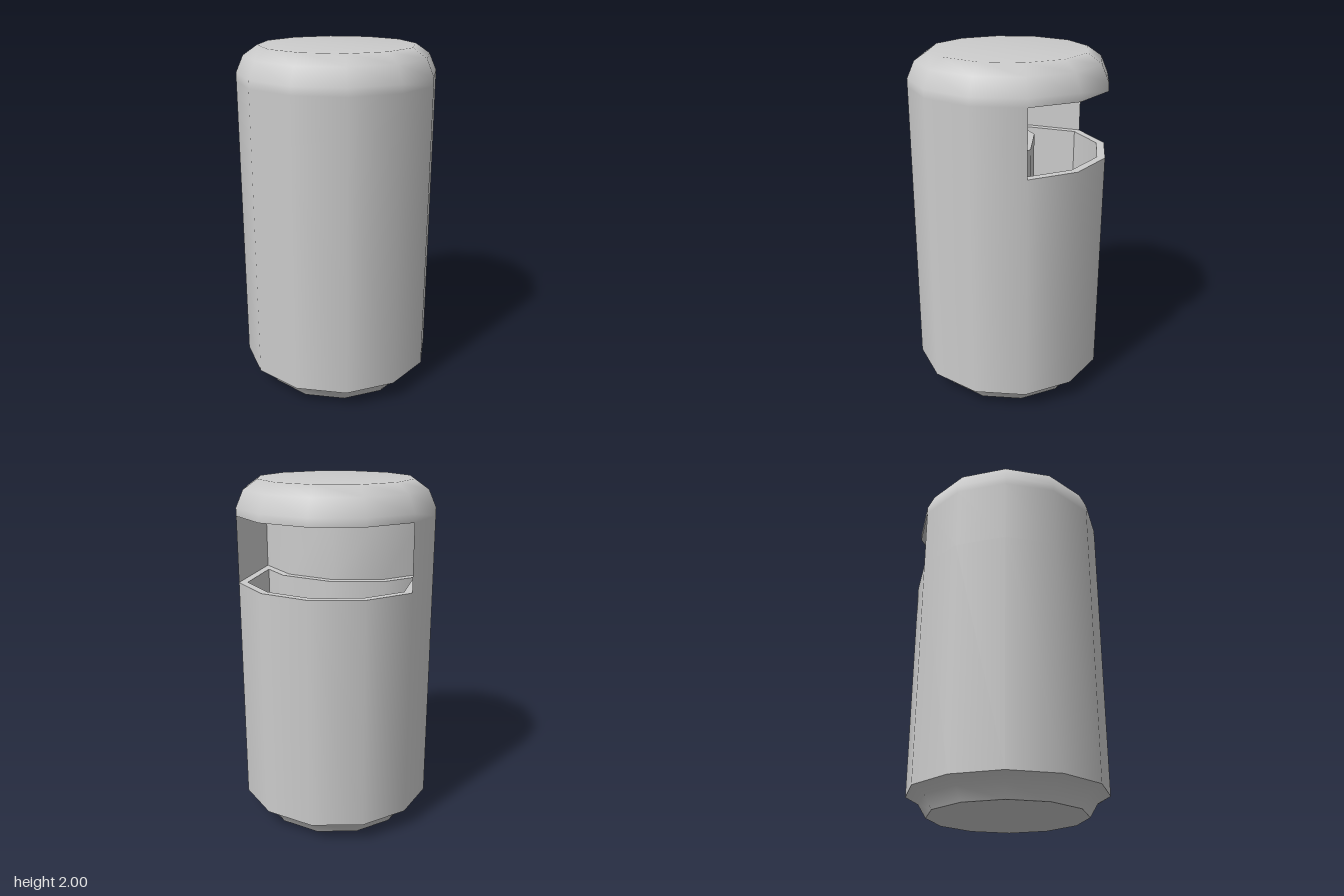
import * as THREE from 'three';
import { toCreasedNormals } from 'three/addons/utils/BufferGeometryUtils.js';

const SIDES = 12;
const R = 0.564;
const STEP = (Math.PI * 2) / SIDES;
const SLOT_LOW = 1.435, SLOT_HIGH = 1.805, SLOT_DEPTH = 0.48;
const WELL_FLOOR = 0.2, LEDGE = 0.045;

const v2 = (x, y) => new THREE.Vector2(x, y);

// Twelve-sided turned surface from [radius, height] pairs
function turned(profile, start = 0, segments = SIDES) {
  return new THREE.LatheGeometry(profile.map(([r, y]) => v2(r, y)), segments, start, segments * STEP);
}

// Plan of the slot, narrowed by w: outer arc and the same arc pushed inward, both from +x to -x
function slotPlan(w) {
  const near = [], far = [];
  const miter = w / Math.cos(STEP / 2);
  for (let k = 0; k <= 4; k++) {
    const phi = (4 + k) * STEP, s = Math.sin(phi), c = Math.cos(phi);
    if (k === 0 || k === 4) {
      const x = Math.sign(s) * (R * Math.abs(s) - w);
      near.push(v2(x, R * c + 0.414 * w));
      far.push(v2(x, R * c + SLOT_DEPTH - 2.414 * w));
    } else {
      near.push(v2((R - miter) * s, (R - miter) * c));
      far.push(v2((R + miter) * s, (R + miter) * c + SLOT_DEPTH));
    }
  }
  return { near, far, ring: [...near.slice().reverse(), ...far] };
}

// Upright wall along a path of (x, z) points
function wall(path, y0, y1) {
  const pos = [];
  for (let i = 0; i < path.length - 1; i++) {
    const a = path[i], b = path[i + 1];
    pos.push(a.x, y0, a.y, b.x, y0, b.y, b.x, y1, b.y);
    pos.push(a.x, y0, a.y, b.x, y1, b.y, a.x, y1, a.y);
  }
  const geo = new THREE.BufferGeometry();
  geo.setAttribute('position', new THREE.Float32BufferAttribute(pos, 3));
  return toCreasedNormals(geo, 0.6);
}

// Level plate from (x, z) points, facing up or down, with an optional hole
function plate(points, y, up, hole) {
  const f = up ? -1 : 1;
  const flip = (list) => list.map((p) => v2(p.x, f * p.y));
  const shape = new THREE.Shape(flip(points));
  if (hole) shape.holes.push(new THREE.Path(flip(hole)));
  return new THREE.ShapeGeometry(shape).rotateX((f * Math.PI) / 2).translate(0, y, 0);
}

export function createModel() {
  const group = new THREE.Group();
  const material = new THREE.MeshStandardMaterial({ color: 0xcccccc });
  const add = (name, geometry) => {
    const mesh = new THREE.Mesh(geometry, material);
    mesh.name = name;
    group.add(mesh);
  };

  // Outer shell, left open at the back between the slot heights
  add('baseUnderside', turned([[0, 0], [0.447, 0]]));
  add('baseRim', turned([[0.447, 0], [0.492, 0.075], [R, 0.115]]));
  add('body', turned([[R, 0.115], [R, SLOT_LOW]]));
  add('slotSurround', turned([[R, SLOT_LOW], [R, SLOT_HIGH]], 8 * STEP, 8));
  add('roundedLid', turned([[R, SLOT_HIGH], [R, 1.85], [0.522, 1.945], [0.442, 2], [0, 2]]));

  // Recess behind the opening
  const recess = slotPlan(0);
  const well = slotPlan(LEDGE);
  add('recessWall', wall([recess.near[0], ...recess.far, recess.near[4]], SLOT_LOW, SLOT_HIGH));
  add('recessCeiling', plate(recess.ring, SLOT_HIGH, false));
  add('recessLedge', plate(recess.ring, SLOT_LOW, true, well.ring));

  // Deep well below the recess
  add('wellWall', wall([...well.ring, well.ring[0]], WELL_FLOOR, SLOT_LOW));
  add('wellFloor', plate(well.ring, WELL_FLOOR, true));

  return group;
}
